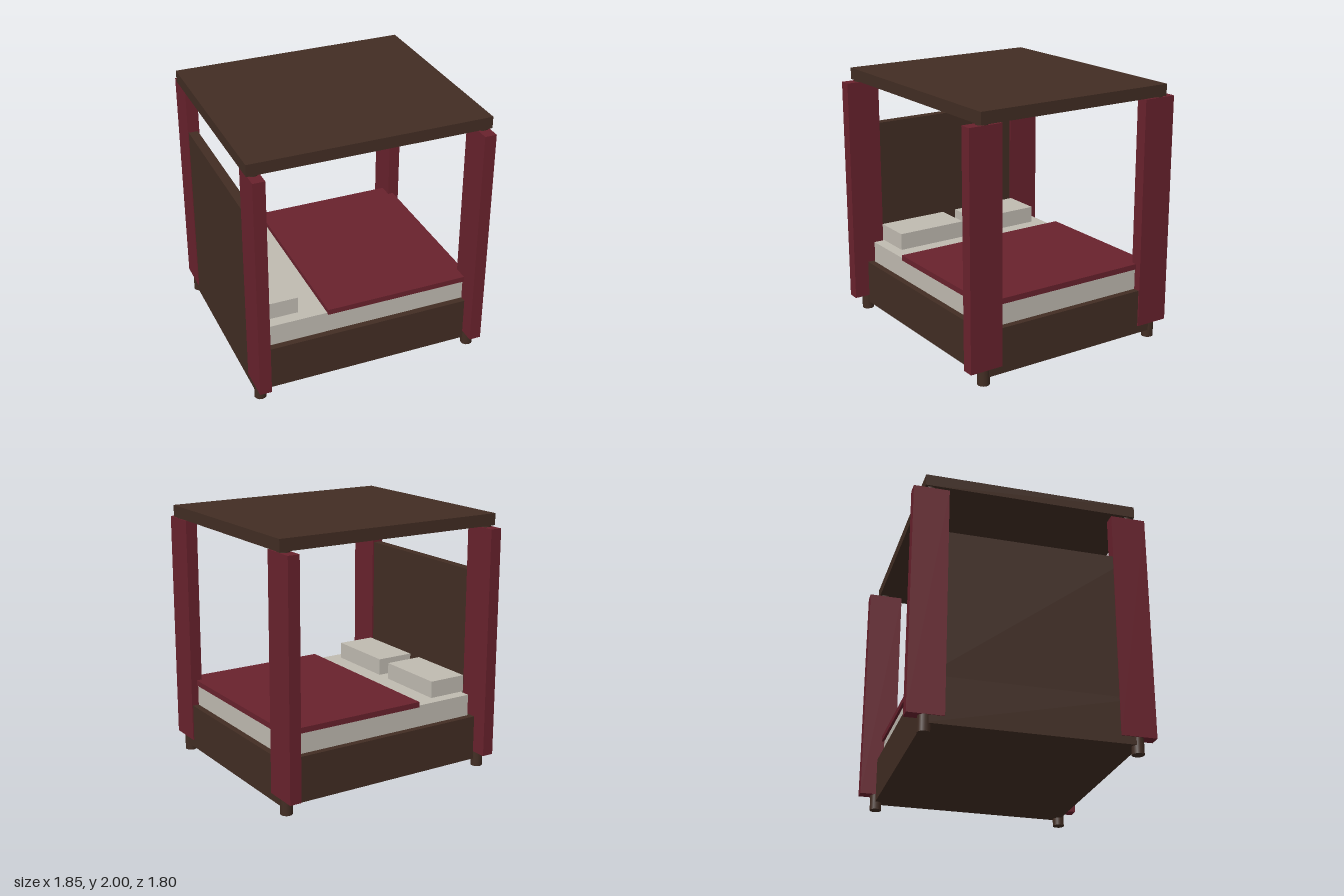
import * as THREE from 'three';

export function createModel() {
  const model = new THREE.Group();
  const make = (name, color) => {
    const m = new THREE.MeshStandardMaterial({ color });
    m.name = name;
    return m;
  };
  const wood = make('dark wood', 0x422d23);
  const fabric = make('burgundy fabric', 0x69222d);
  const linen = make('linen', 0xc0bbb1);

  const add = (name, geometry, material, x, y, z) => {
    const mesh = new THREE.Mesh(geometry, material);
    mesh.name = name;
    mesh.position.set(x, y, z);
    model.add(mesh);
  };
  // Box given by its limits on each axis
  const box = (name, material, [x0, x1], [y0, y1], [z0, z1]) =>
    add(name, new THREE.BoxGeometry(x1 - x0, y1 - y0, z1 - z0), material,
      (x0 + x1) / 2, (y0 + y1) / 2, (z0 + z1) / 2);

  // Frame, headboard and canopy
  box('bedBase', wood, [-0.908, 0.905], [0.06, 0.41], [-0.775, 0.775]);
  box('headboard', wood, [-0.908, -0.835], [0.4, 1.55], [-0.77, 0.77]);
  box('canopy', wood, [-0.927, 0.927], [1.91, 2], [-0.812, 0.812]);

  // Bedding
  box('mattress', linen, [-0.795, 0.855], [0.4, 0.578], [-0.725, 0.725]);
  box('blanket', fabric, [-0.31, 0.865], [0.572, 0.615], [-0.745, 0.745]);
  for (const s of [-1, 1]) {
    const z = [0.06 * s, 0.635 * s].sort((a, b) => a - b);
    box('pillow', linen, [-0.815, -0.507], [0.573, 0.71], z);
  }

  // Round corner posts, each wrapped in a hanging curtain
  const postGeometry = new THREE.CylinderGeometry(0.046, 0.046, 1.92, 12);
  const curtainGeometry = new THREE.BoxGeometry(0.092, 1.78, 0.268);
  for (const sx of [-1, 1]) {
    for (const sz of [-1, 1]) {
      add('post', postGeometry, wood, sx * 0.868, 0.96, sz * 0.765);
      add('curtain', curtainGeometry, fabric, sx * 0.868, 1.01, sz * 0.764);
    }
  }
  return model;
}
